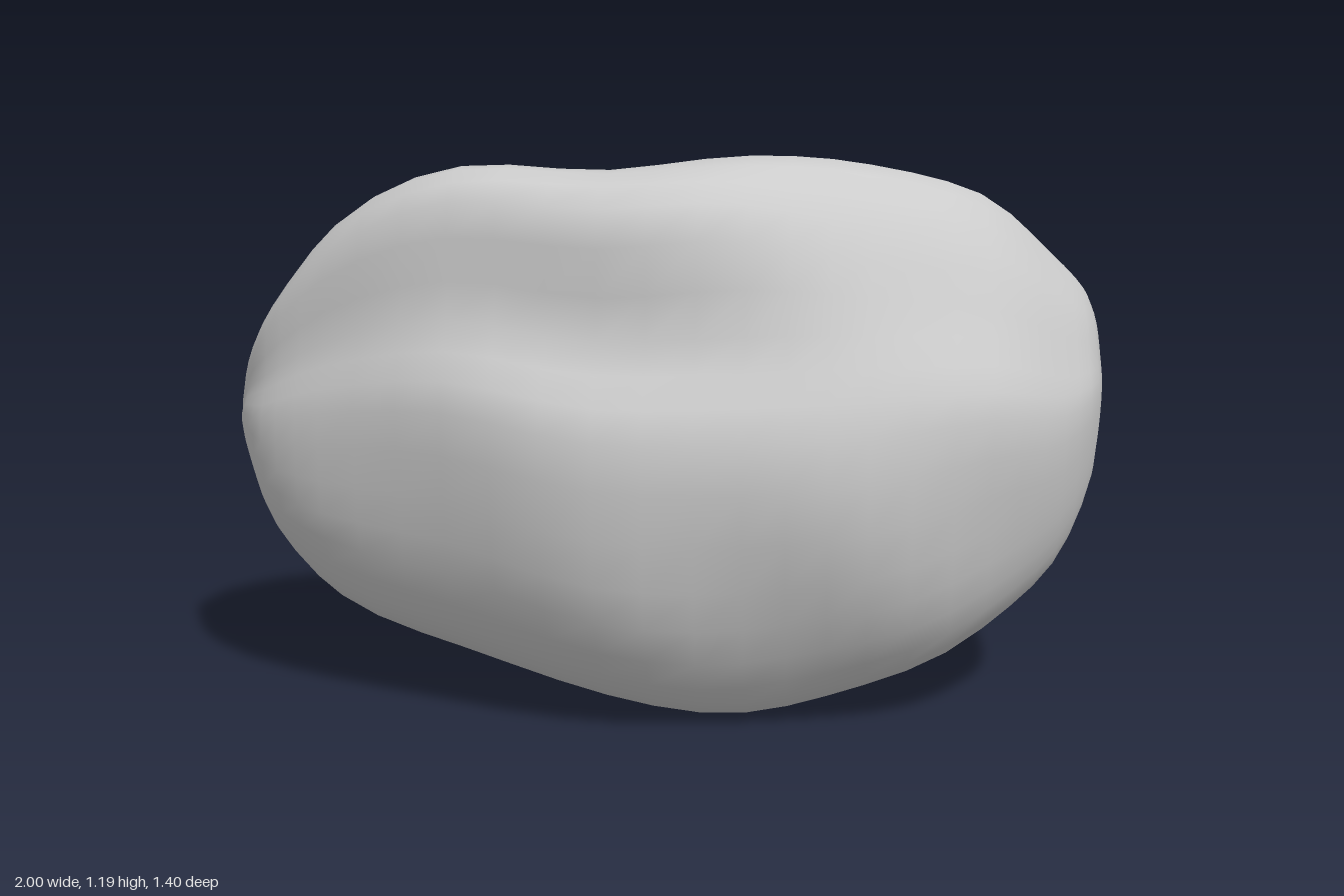
import * as THREE from 'three';

// Stations along x: [x, backZ, backY, topY, topZ, bottomY, bottomZ, frontZ]
const STATIONS = [
  [-1.0, 0.0, 0.58, 0.63, 0.05, 0.54, 0.05, 0.1],
  [-0.96, -0.12, 0.59, 0.74, 0.07, 0.46, 0.08, 0.2],
  [-0.88, -0.2, 0.58, 0.87, 0.12, 0.32, 0.15, 0.33],
  [-0.72, -0.26, 0.57, 1.04, 0.2, 0.2, 0.24, 0.45],
  [-0.42, -0.2, 0.56, 1.17, 0.34, 0.11, 0.32, 0.59],
  [-0.1, -0.26, 0.58, 1.16, 0.34, 0.03, 0.38, 0.69],
  [0.2, -0.38, 0.65, 1.19, 0.35, 0.0, 0.38, 0.69],
  [0.45, -0.52, 0.7, 1.17, 0.25, 0.05, 0.36, 0.65],
  [0.7, -0.7, 0.74, 1.1, 0.13, 0.17, 0.28, 0.54],
  [0.86, -0.65, 0.73, 0.97, 0.0, 0.29, 0.17, 0.38],
  [0.95, -0.59, 0.71, 0.88, -0.1, 0.45, 0.04, 0.21],
  [0.985, -0.52, 0.7, 0.8, -0.28, 0.59, -0.24, -0.1],
];

// Control points of one section: top, front, bottom, back
function section([x, zb, yb, yt, zt, yB, zB, zf]) {
  const mix = THREE.MathUtils.lerp;
  const h = yt - yB, d = zf - zb;
  const left = THREE.MathUtils.smoothstep(x, 0, 0.7); // shape change towards the tapering left end
  return [
    [zt, yt],
    [zf - mix(0.13, 0.17, left) * d, yt - mix(0.07, 0.12, left) * h],
    [zf - mix(0.095, 0.065, left) * d, yB + 0.7 * h],
    [zf, yB + 0.53 * h],
    [zf - 0.03 * d, yB + 0.27 * h],
    [zf - mix(0.16, 0.1, left) * d, yB + 0.08 * h],
    [zB, yB],
    [mix(zb, zB, 0.4), mix(yB, yb, 0.31)],
    [zb + 0.08 * d, mix(yb, yB, 0.31)],
    [zb, yb],
    [zb + 0.07 * d, mix(yb, yt, mix(0.44, 0.48, left))],
    [mix(zb, zt, 0.5), mix(yb, yt, mix(0.8, 0.83, left))],
  ].map(([z, y]) => new THREE.Vector3(x, y, z));
}

function stoneGeometry() {
  const sections = STATIONS.map(section);
  const rails = sections[0].map((_, j) => new THREE.CatmullRomCurve3(sections.map((s) => s[j])));
  const rings = (STATIONS.length - 1) * 3, around = 36;
  const pos = [], index = [];

  // Rings swept along the rails, with gentle uneven dents
  for (let i = 0; i <= rings; i++) {
    const ring = new THREE.CatmullRomCurve3(rails.map((r) => r.getPoint(i / rings)), true);
    const fade = Math.sin((Math.PI * i) / rings);
    for (let j = 0; j < around; j++) {
      const p = ring.getPoint(j / around);
      const dent = 0.007 * fade * (Math.sin(9 * p.x + 7 * p.y) + Math.sin(13 * p.y - 10 * p.z + 6 * p.x));
      pos.push(p.x, p.y + dent * (p.y - 0.6), p.z + dent * THREE.MathUtils.clamp(4 * (p.z - 0.1), -1, 1));
    }
  }
  for (let i = 0; i < rings; i++) {
    for (let j = 0; j < around; j++) {
      const a = i * around + j, b = i * around + ((j + 1) % around);
      index.push(a, b, a + around, b, b + around, a + around);
    }
  }

  // Rounded ends
  for (const [ring, x] of [[0, -1.004], [rings, 0.996]]) {
    const pole = pos.length / 3;
    let y = 0, z = 0;
    for (let j = 0; j < around; j++) {
      y += pos[(ring * around + j) * 3 + 1] / around;
      z += pos[(ring * around + j) * 3 + 2] / around;
    }
    pos.push(x, y, z);
    for (let j = 0; j < around; j++) {
      const a = ring * around + j, b = ring * around + ((j + 1) % around);
      if (ring === 0) index.push(pole, b, a);
      else index.push(pole, a, b);
    }
  }

  const geometry = new THREE.BufferGeometry();
  geometry.setAttribute('position', new THREE.Float32BufferAttribute(pos, 3));
  geometry.setIndex(index);
  geometry.computeBoundingBox();
  geometry.translate(0, -geometry.boundingBox.min.y, 0);
  geometry.computeVertexNormals();
  return geometry;
}

export function createModel() {
  const group = new THREE.Group();
  group.name = 'rock';
  const stone = new THREE.Mesh(stoneGeometry(), new THREE.MeshStandardMaterial({ color: 0xcccccc }));
  stone.name = 'stone';
  group.add(stone);
  return group;
}
